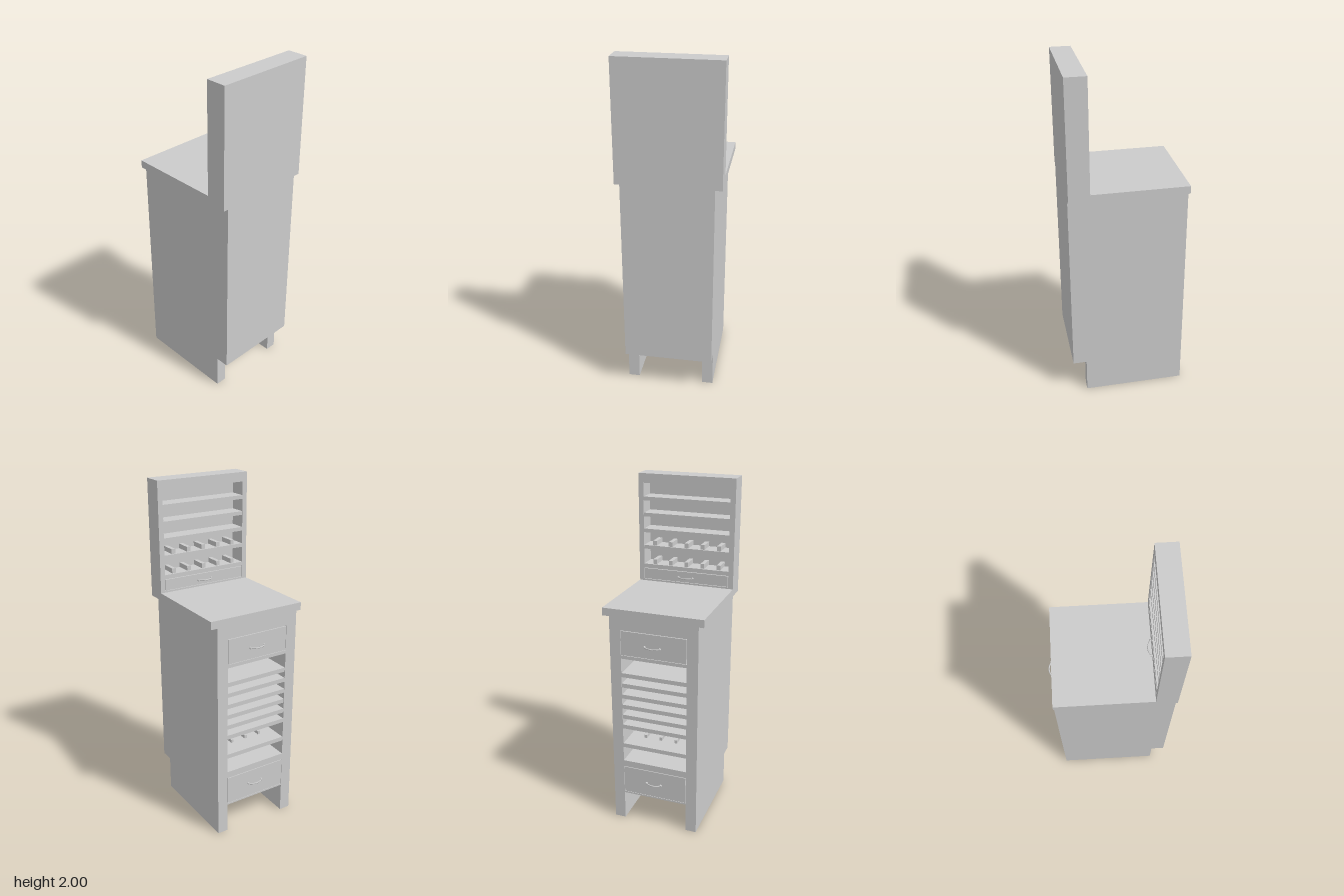
import * as THREE from 'three';

const grey = new THREE.MeshStandardMaterial({ color: 0xcccccc });

export function createModel() {
  const root = new THREE.Group();

  // Box given by its limits on each axis
  function box(name, [x0, x1], [y0, y1], [z0, z1], parent = root) {
    const m = new THREE.Mesh(new THREE.BoxGeometry(x1 - x0, y1 - y0, z1 - z0), grey);
    m.position.set((x0 + x1) / 2, (y0 + y1) / 2, (z0 + z1) / 2);
    m.name = name;
    parent.add(m);
    return m;
  }

  // Flat frame in the z/y plane, with rectangular openings [z0, z1, y0, y1]
  function frame(name, outline, holes, x, depth) {
    const s = new THREE.Shape(outline.map(p => new THREE.Vector2(...p)));
    for (const [a, b, c, d] of holes) {
      s.holes.push(new THREE.Path([[a, c], [a, d], [b, d], [b, c]].map(p => new THREE.Vector2(...p))));
    }
    const m = new THREE.Mesh(new THREE.ExtrudeGeometry(s, { depth, bevelEnabled: false }), grey);
    m.rotation.y = -Math.PI / 2;
    m.position.x = x + depth;
    m.name = name;
    root.add(m);
  }

  // Bowed pull handle with two mounting feet
  function handle(name, x, y) {
    const g = new THREE.Group();
    g.name = name;
    const curve = new THREE.CatmullRomCurve3(
      [[-0.004, -0.044], [-0.011, -0.034], [-0.018, -0.018], [-0.021, 0], [-0.018, 0.018], [-0.011, 0.034], [-0.004, 0.044]]
        .map(([px, pz]) => new THREE.Vector3(px, 0, pz)));
    const grip = new THREE.Mesh(new THREE.TubeGeometry(curve, 24, 0.004, 8), grey);
    grip.name = 'grip';
    g.add(grip);
    for (const s of [-1, 1]) {
      const foot = new THREE.Mesh(new THREE.CylinderGeometry(0.006, 0.007, 0.012, 12), grey);
      foot.rotation.z = Math.PI / 2;
      foot.position.set(-0.004, 0, s * 0.045);
      foot.name = 'foot';
      g.add(foot);
    }
    g.position.set(x, y, 0);
    root.add(g);
  }

  // Lower cabinet: face frame with legs
  const X0 = -0.325, X1 = 0.35, Z0 = -0.255, Z1 = 0.265, A = -0.19, B = 0.2;
  frame('faceFrame',
    [[Z0, 0], [A, 0], [A, 0.18], [B, 0.18], [B, 0], [Z1, 0], [Z1, 1.31], [Z0, 1.31]],
    [[A, B, 0.19, 0.365], [A, B, 0.405, 1.065], [A, B, 1.085, 1.235]], X0, 0.03);

  // Thick side walls, cut back at the toe
  for (const z of [[Z0, A], [B, Z1]]) {
    box('sideWall', [X0 + 0.03, X1 - 0.02], [0.21, 1.31], z);
    box('legPanel', [X0 + 0.03, 0.27], [0, 0.21], z);
  }
  box('cabinetBack', [X1 - 0.02, X1], [0.21, 1.31], [Z0, Z1]);
  box('cabinetFloor', [X0 + 0.03, 0.27], [0.18, 0.21], [A, B]);
  box('cabinetFloorRear', [0.27, X1 - 0.02], [0.21, 0.23], [A, B]);
  box('drawerDivider', [X0 + 0.03, X1 - 0.02], [1.065, 1.085], [A, B]);

  // Tray shelves
  for (const y of [0.405, 0.52, 0.645, 0.71, 0.775, 0.84, 0.91, 0.975]) {
    box('shelf', [X0 + 0.002, X1 - 0.02], [y - 0.025, y], [A, B]);
  }
  for (const z of [-0.09, 0.005, 0.1]) {
    box('trayDivider', [-0.22, 0.2], [0.52, 0.54], [z - 0.008, z + 0.008]);
  }

  // Drawer fronts with a thin gap all round
  const gap = 0.003;
  for (const [y0, y1, hy] of [[0.19, 0.365, 0.28], [1.085, 1.235, 1.155]]) {
    box('drawerFront', [X0 - 0.001, X0 + 0.028], [y0 + gap, y1 - gap], [A + gap, B - gap]);
    handle('drawerHandle', X0 - 0.004, hy);
  }

  // Worktop
  const W = 0.295, HX = 0.23;
  box('worktop', [X0, HX], [1.31, 1.355], [-W, W]);

  // Upper rack
  const T = 0.03;
  frame('rackFrame', [[-W, 1.31], [W, 1.31], [W, 2], [-W, 2]],
    [[-W + T, W - T, 1.365, 1.435], [-W + T, W - T, 1.46, 1.945]], HX, 0.015);
  box('rackBack', [X1 - 0.015, X1], [1.31, 2], [-W, W]);
  for (const z of [[-W, -W + T], [W - T, W]]) box('rackSide', [HX + 0.015, X1 - 0.015], [1.31, 2], z);
  for (const y of [[1.31, 1.355], [1.945, 2]]) box('rackCap', [HX + 0.015, X1 - 0.015], y, [-W + T, W - T]);
  for (const y of [1.46, 1.575, 1.675, 1.77, 1.865]) {
    box('rackShelf', [HX + 0.002, X1 - 0.015], [y - 0.022, y], [-W + T, W - T]);
  }

  // Small dividers on the two lowest rack shelves
  for (const y of [1.46, 1.575]) {
    for (let i = 0; i < 5; i++) {
      const z = -0.2 + i * 0.1;
      box('rackDivider', [HX + 0.012, X1 - 0.015], [y, y + 0.028], [z - 0.012, z + 0.012]);
    }
  }
  box('rackDrawerFront', [HX - 0.001, HX + 0.014], [1.365 + gap, 1.435 - gap], [-W + T + gap, W - T - gap]);
  handle('rackHandle', HX - 0.003, 1.395);

  return root;
}
